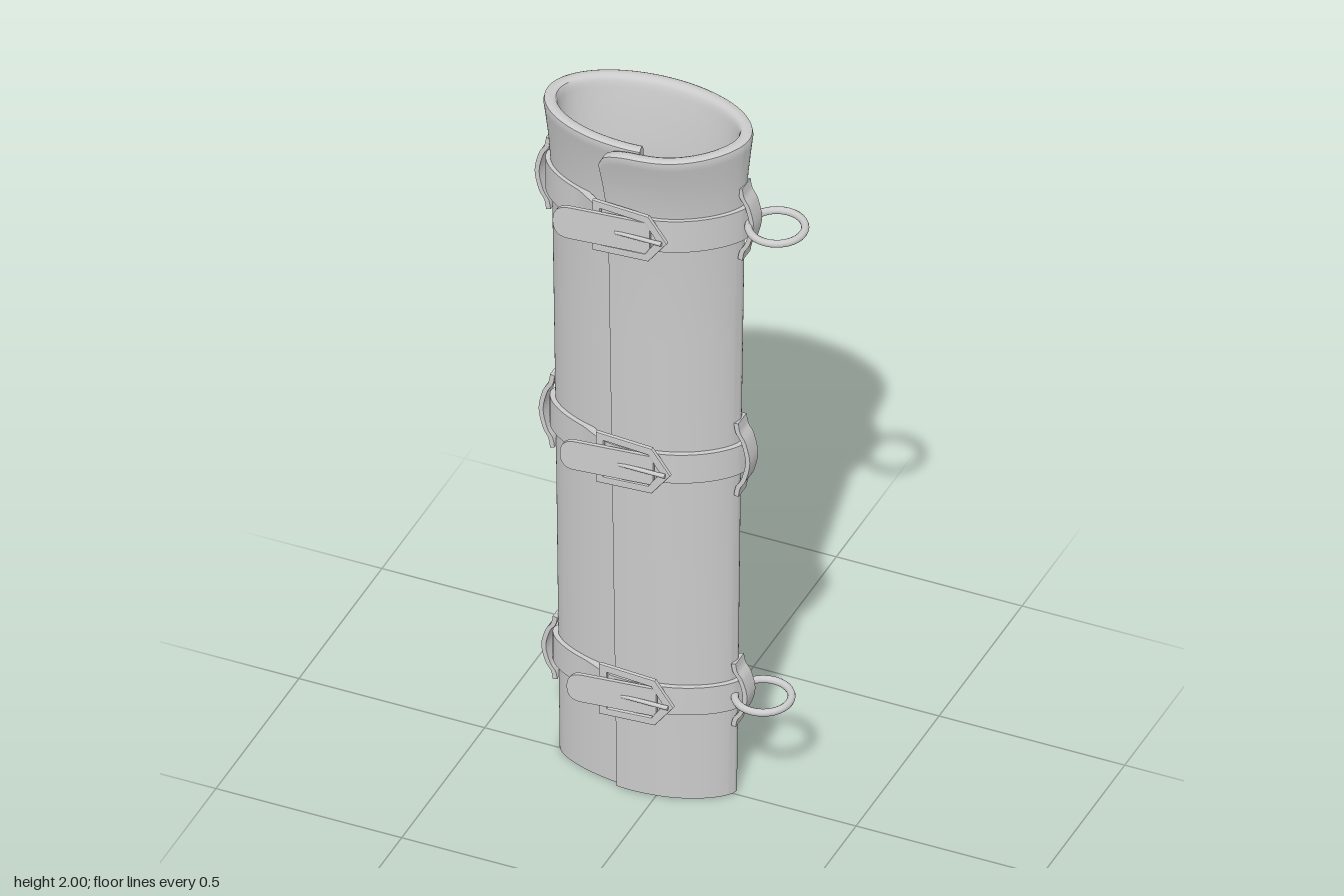
import * as THREE from 'three';
import { toCreasedNormals } from 'three/addons/utils/BufferGeometryUtils.js';

const CX = -0.065, CZ = -0.013;
const material = new THREE.MeshStandardMaterial({ color: 0xcccccc, side: THREE.DoubleSide });
const { smoothstep, degToRad, lerp } = THREE.MathUtils;

// height, half width, half depth, leather thickness
const PROFILE = [
  [0, 0.237, 0.09, 0.013], [1, 0.247, 0.109, 0.02], [1.7, 0.256, 0.121, 0.026], [1.8, 0.26, 0.126, 0.028],
  [1.88, 0.264, 0.137, 0.03], [1.94, 0.269, 0.149, 0.033], [2, 0.275, 0.164, 0.036],
];

function sizeAt(y) {
  let i = 0;
  while (i < PROFILE.length - 2 && y > PROFILE[i + 1][0]) i++;
  const a = PROFILE[i], b = PROFILE[i + 1], f = (y - a[0]) / (b[0] - a[0]);
  return { hx: lerp(a[1], b[1], f), hz: lerp(a[2], b[2], f), t: lerp(a[3], b[3], f) };
}

// Point on the wrapped sleeve: deg 0 is +x, 90 is the front; the front flap lies one thickness higher
function wrapPoint(deg, y, offset, depth = 0) {
  const { hx, hz, t } = sizeAt(y), a = degToRad(deg);
  const power = 1.13 - 0.13 * smoothstep(y, 1.7, 2);
  const bend = (v) => Math.sign(v) * Math.pow(Math.abs(v), power);
  const flap = t * smoothstep(deg, 10, 70) * (1 - smoothstep(deg, 103, 125));
  const grow = offset - depth * t;
  return new THREE.Vector3(CX + (hx + grow) * bend(Math.cos(a)), y, CZ + (hz + grow) * bend(Math.sin(a)) + flap);
}

// Skin a list of closed rings and cap both ends (rings fold in half as out side / in side)
function loft(rings, crease) {
  const n = rings[0].length, last = (rings.length - 1) * n, index = [];
  const quad = (a, b, c, d) => index.push(a, b, c, a, c, d);
  for (let i = 0; i < rings.length - 1; i++)
    for (let j = 0; j < n; j++) {
      const k = (j + 1) % n;
      quad(i * n + j, (i + 1) * n + j, (i + 1) * n + k, i * n + k);
    }
  for (let j = 0; j < n / 2 - 1; j++) {
    quad(j, j + 1, n - 2 - j, n - 1 - j);
    quad(last + n - 1 - j, last + n - 2 - j, last + j + 1, last + j);
  }
  const g = new THREE.BufferGeometry().setFromPoints(rings.flat());
  g.setIndex(index);
  return toCreasedNormals(g, crease);
}

function add(parent, name, geometry) {
  const mesh = new THREE.Mesh(geometry, material);
  mesh.name = name;
  parent.add(mesh);
  return mesh;
}

// Leather sheet wrapped round with overlapping front edges, rounded flap corner
function sleeveGeometry() {
  const ys = [0, 0.5, 1, 1.4, 1.7, 1.76, 1.8, 1.84, 1.88, 1.91, 1.94, 1.97, 1.985];
  const outline = [
    ...ys.map((y) => [y, 0]), [1.996, 0.1], [2, 0.3], [2, 0.7], [1.996, 0.9],
    ...ys.slice().reverse().map((y) => [y, 1]),
  ];
  const rings = [], start = 102, end = -280, steps = 110;
  for (let i = 0; i <= steps; i++) {
    const deg = lerp(start, end, i / steps);
    const q = Math.max(0, 1 - (start - deg) / 20);
    const drop = 0.05 * (1 - Math.sqrt(1 - q * q));
    rings.push(outline.map(([y, d]) => wrapPoint(deg, y - drop * smoothstep(y, 1.6, 2), 0, d)));
  }
  return loft(rings, 0.7);
}

function strapGeometry(y, h) {
  const rings = [];
  for (let i = 0; i <= 90; i++) {
    const deg = 130 - i * 4;
    rings.push([[-h, 0.015], [h, 0.015], [h, -0.004], [-h, -0.004]].map(([dy, off]) => {
      const p = wrapPoint(deg, y, off);
      p.y = y + dy;
      return p;
    }));
  }
  return loft(rings, 0.6);
}

// Rounded strap end, leaning away from the sleeve
function tongueGeometry(h, tipX) {
  const s = new THREE.Shape(), r = h * 0.9;
  s.moveTo(0.015, -h);
  s.lineTo(0.015, h);
  s.lineTo(tipX + r, h);
  s.quadraticCurveTo(tipX, h, tipX, 0);
  s.quadraticCurveTo(tipX, -h, tipX + r, -h);
  s.closePath();
  const g = new THREE.ExtrudeGeometry(s, { depth: 0.01, bevelEnabled: false, curveSegments: 8 });
  const p = g.attributes.position;
  for (let i = 0; i < p.count; i++) {
    const f = (0.015 - p.getX(i)) / (0.015 - tipX);
    p.setZ(i, p.getZ(i) + 0.012 + 0.024 * f);
  }
  g.computeVertexNormals();
  return toCreasedNormals(g, 0.6);
}

// Five-sided frame with a pointed end
function buckleGeometry() {
  const outline = (inset) => [
    [-0.138 + inset, -0.076 + inset], [0.012 - inset * 0.4, -0.068 + inset], [0.063 - inset * 1.4, 0],
    [0.012 - inset * 0.4, 0.068 - inset], [-0.138 + inset, 0.076 - inset],
  ].map(([x, y]) => new THREE.Vector2(x, y));
  const s = new THREE.Shape(outline(0.003));
  s.holes.push(new THREE.Path(outline(0.018)));
  return new THREE.ExtrudeGeometry(s, {
    depth: 0.006, bevelEnabled: true, bevelSize: 0.003, bevelThickness: 0.003, bevelSegments: 2,
  });
}

// Curved loop holding the strap at the side, bulging toward +x
function keeperGeometry(half) {
  const curve = new THREE.SplineCurve([
    [0.006, -1], [0.011, -0.75], [0.026, -0.5], [0.037, 0], [0.026, 0.5], [0.011, 0.75], [0.006, 1],
  ].map(([x, v]) => new THREE.Vector2(x, v * half)));
  const outer = curve.getPoints(24);
  const inner = outer.map((p) => new THREE.Vector2(p.x - 0.012, p.y * 0.97)).reverse();
  const g = new THREE.ExtrudeGeometry(new THREE.Shape([...outer, ...inner]), { depth: 0.05, bevelEnabled: false });
  g.translate(0, 0, -0.025);
  return toCreasedNormals(g, 0.6);
}

export function createModel() {
  const model = new THREE.Group();
  model.name = 'strappedSleeve';
  add(model, 'sleeve', sleeveGeometry());

  const bands = [
    { name: 'upper', y: 1.752, h: 0.047, half: 0.11, tip: -0.235, ring: 0.28 },
    { name: 'middle', y: 1.03, h: 0.043, half: 0.112, tip: -0.225 },
    { name: 'lower', y: 0.31, h: 0.041, half: 0.096, tip: -0.215, ring: 0.243 },
  ];
  for (const b of bands) {
    const group = new THREE.Group();
    group.name = b.name + 'Band';
    model.add(group);
    add(group, 'strap', strapGeometry(b.y, b.h));

    // Buckle set on the front
    const { hx, hz, t } = sizeAt(b.y);
    const front = new THREE.Group();
    front.name = 'buckle';
    front.position.set(0, b.y, CZ + hz + t);
    group.add(front);
    add(front, 'strapEnd', tongueGeometry(b.h, b.tip));
    add(front, 'buckleFrame', buckleGeometry()).position.z = 0.016;
    const prong = add(front, 'prong', new THREE.CylinderGeometry(0.005, 0.006, 0.125, 8));
    prong.rotation.z = Math.PI / 2;
    prong.position.set(-0.012, 0, 0.029);

    // Side loops, mirrored by a half turn
    for (const side of [1, -1]) {
      const keeper = add(group, side > 0 ? 'leftKeeper' : 'rightKeeper', keeperGeometry(b.half));
      keeper.position.set(CX + side * hx, b.y, CZ);
      if (side < 0) keeper.rotation.y = Math.PI;
    }

    // Hanging ring on the left side
    if (b.ring) {
      const ring = add(group, 'ring', new THREE.TorusGeometry(0.07, 0.01, 10, 32));
      ring.rotation.x = Math.PI / 2;
      ring.position.set(b.ring, b.y, -0.015);
    }
  }
  return model;
}
